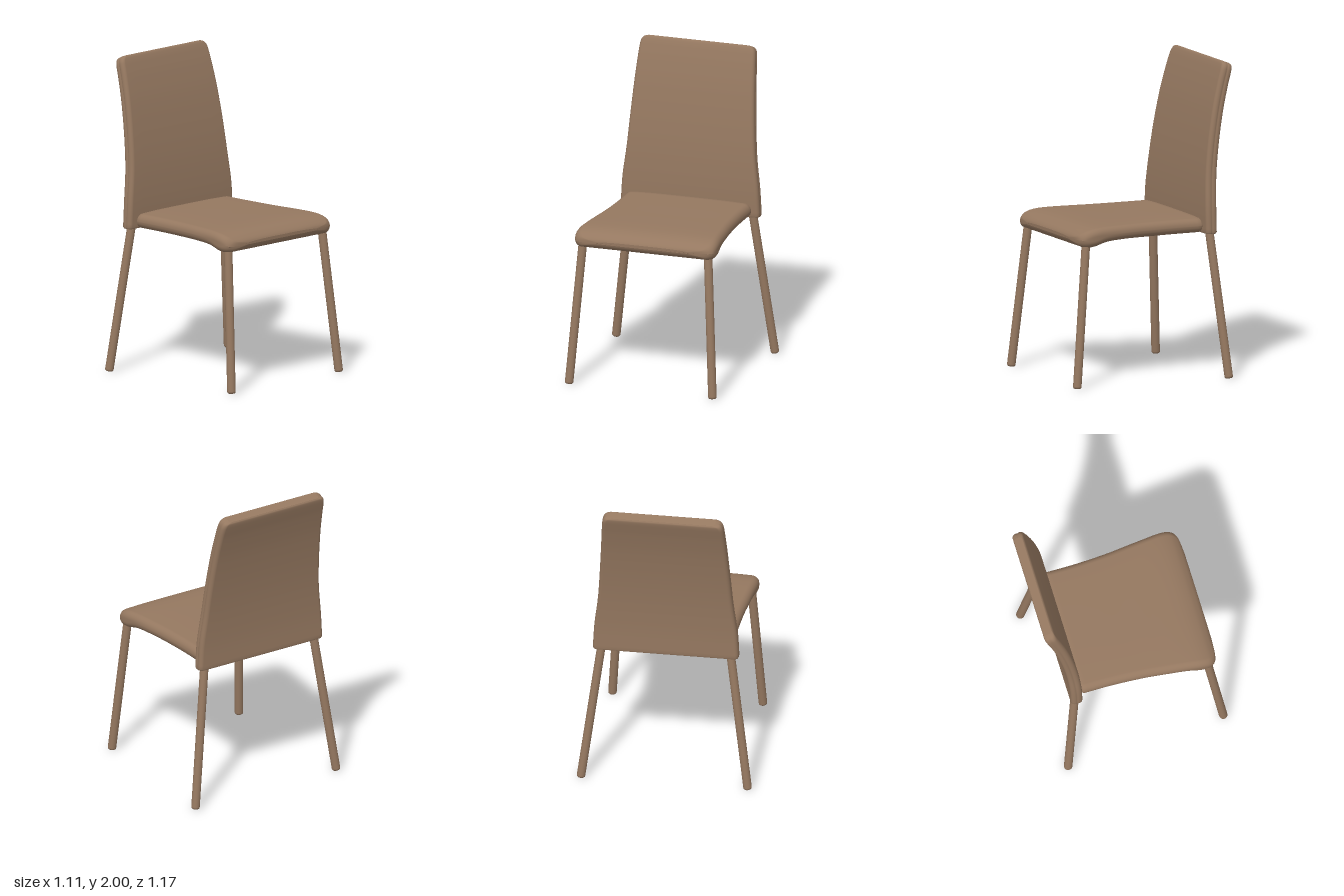
import * as THREE from 'three';

const brown = new THREE.MeshStandardMaterial({ color: 0x957860 });
brown.name = 'brown';

// Smoothly resample rows of four numbers.
function resample(rows, n) {
  const a = new THREE.SplineCurve(rows.map(r => new THREE.Vector2(r[0], r[1])));
  const b = new THREE.SplineCurve(rows.map(r => new THREE.Vector2(r[2], r[3])));
  const out = [];
  for (let i = 0; i <= n; i++) {
    const p = a.getPoint(i / n), q = b.getPoint(i / n);
    out.push([p.x, p.y, q.x, q.y]);
  }
  return out;
}

// Rounded rectangle section, counter-clockwise, with an optional side seam and crowned top.
function section(hw, h, radius, crown, seam) {
  const r = Math.min(radius, h), pts = [], signs = [[1, 1], [-1, 1], [-1, -1], [1, -1]];
  signs.forEach(([sx, sy], k) => {
    for (let i = 0; i <= 6; i++) {
      const a = (k + i / 6) * Math.PI / 2;
      pts.push([sx * (hw - r) + r * Math.cos(a), sy * (h - r) + r * Math.sin(a)]);
    }
    if (k % 2 === 0) {
      for (let i = 1; i < 10; i++) pts.push([sx * (hw - r) * (1 - i / 5), sy * h]);
    } else if (seam) {
      const s = -sx;
      if (s > 0) pts.push([-hw, 0.005], [-hw + seam, 0], [-hw, -0.005]);
      else pts.push([hw, -0.005], [hw - seam, 0], [hw, 0.005]);
    }
  });
  return pts.map(([x, y]) => [x, y > 0 ? y - crown * Math.pow(x / hw, 4) : y]);
}

// Skin a list of rings of [x, y, z] points and close both ends.
function loft(rings) {
  const n = rings[0].length, pos = rings.flat(2), idx = [];
  for (let i = 0; i < rings.length - 1; i++) {
    for (let j = 0; j < n; j++) {
      const k = (j + 1) % n, a = i * n + j, b = i * n + k;
      idx.push(a, b, b + n, a, b + n, a + n);
    }
  }
  [[rings[0], false], [rings[rings.length - 1], true]].forEach(([ring, end]) => {
    const base = pos.length / 3;
    const c = [0, 1, 2].map(d => ring.reduce((s, p) => s + p[d], 0) / n);
    pos.push(...ring.flat(), ...c);
    for (let j = 0; j < n; j++) {
      const a = base + j, b = base + (j + 1) % n;
      if (end) idx.push(a, b, base + n);
      else idx.push(b, a, base + n);
    }
  });
  const g = new THREE.BufferGeometry();
  g.setAttribute('position', new THREE.Float32BufferAttribute(pos, 3));
  g.setIndex(idx);
  g.computeVertexNormals();
  return g;
}

// Seat cushion: rows of z, half width, top, bottom.
function seatGeometry() {
  const rows = resample([
    [-0.335, 0.42, 1.02, 0.925], [-0.15, 0.42, 1.021, 0.925], [0.05, 0.43, 1.021, 0.925],
    [0.2, 0.446, 1.021, 0.925], [0.33, 0.46, 1.02, 0.918], [0.42, 0.47, 1.014, 0.896],
    [0.48, 0.468, 1.0, 0.892], [0.515, 0.45, 0.982, 0.902], [0.533, 0.405, 0.967, 0.919],
    [0.541, 0.31, 0.955, 0.935],
  ], 45);
  rows.unshift([-0.345, 0.412, 1.012, 0.932]);
  return loft(rows.map(([z, hw, top, bottom]) => {
    const mid = (top + bottom) / 2;
    return section(hw, (top - bottom) / 2, 0.042, 0.008, 0).map(([x, y]) => [x, mid + y, z]);
  }));
}

// Backrest: rows of y, z, half width, half thickness along a backward curve.
function backGeometry() {
  const rows = resample([
    [0.93, -0.391, 0.465, 0.038], [1.1, -0.392, 0.455, 0.038], [1.3, -0.405, 0.431, 0.038],
    [1.5, -0.43, 0.416, 0.038], [1.7, -0.466, 0.403, 0.038], [1.85, -0.503, 0.393, 0.038],
    [1.93, -0.527, 0.387, 0.038], [1.964, -0.538, 0.38, 0.037], [1.983, -0.544, 0.365, 0.034],
    [1.991, -0.547, 0.34, 0.027],
  ], 45);
  rows.unshift([0.92, -0.391, 0.46, 0.034]);
  return loft(rows.map(([y, z, hw, ht], i) => {
    const p = rows[Math.max(i - 1, 0)], q = rows[Math.min(i + 1, rows.length - 1)];
    const t = new THREE.Vector2(q[0] - p[0], q[1] - p[1]).normalize();
    return section(hw, ht, 0.024, 0, 0.005).map(([u, v]) => [u, y + v * t.y, z - v * t.x]);
  }));
}

// Round leg between a foot point and a top point, with a bevelled foot.
function leg(name, foot, top) {
  const a = new THREE.Vector3(...foot), d = new THREE.Vector3(...top).sub(a);
  const len = d.length();
  const profile = [[0, 0], [0.02, 0], [0.026, 0.006], [0.027, 0.014], [0.027, len], [0, len]];
  const mesh = new THREE.Mesh(
    new THREE.LatheGeometry(profile.map(p => new THREE.Vector2(...p)), 24), brown);
  mesh.position.copy(a);
  mesh.quaternion.setFromUnitVectors(new THREE.Vector3(0, 1, 0), d.normalize());
  mesh.name = name;
  return mesh;
}

export function createModel() {
  const model = new THREE.Group();
  model.name = 'chair';
  const seat = new THREE.Mesh(seatGeometry(), brown);
  seat.name = 'seat';
  const back = new THREE.Mesh(backGeometry(), brown);
  back.name = 'backrest';
  model.add(seat, back);

  // Splayed legs, mirrored left and right
  for (const [side, s] of [['left', 1], ['right', -1]]) {
    model.add(leg(side + 'FrontLeg', [s * 0.48, 0.003, 0.565], [s * 0.418, 0.93, 0.473]));
    model.add(leg(side + 'RearLeg', [s * 0.532, 0.003, -0.473], [s * 0.412, 0.93, -0.393]));
  }
  return model;
}
